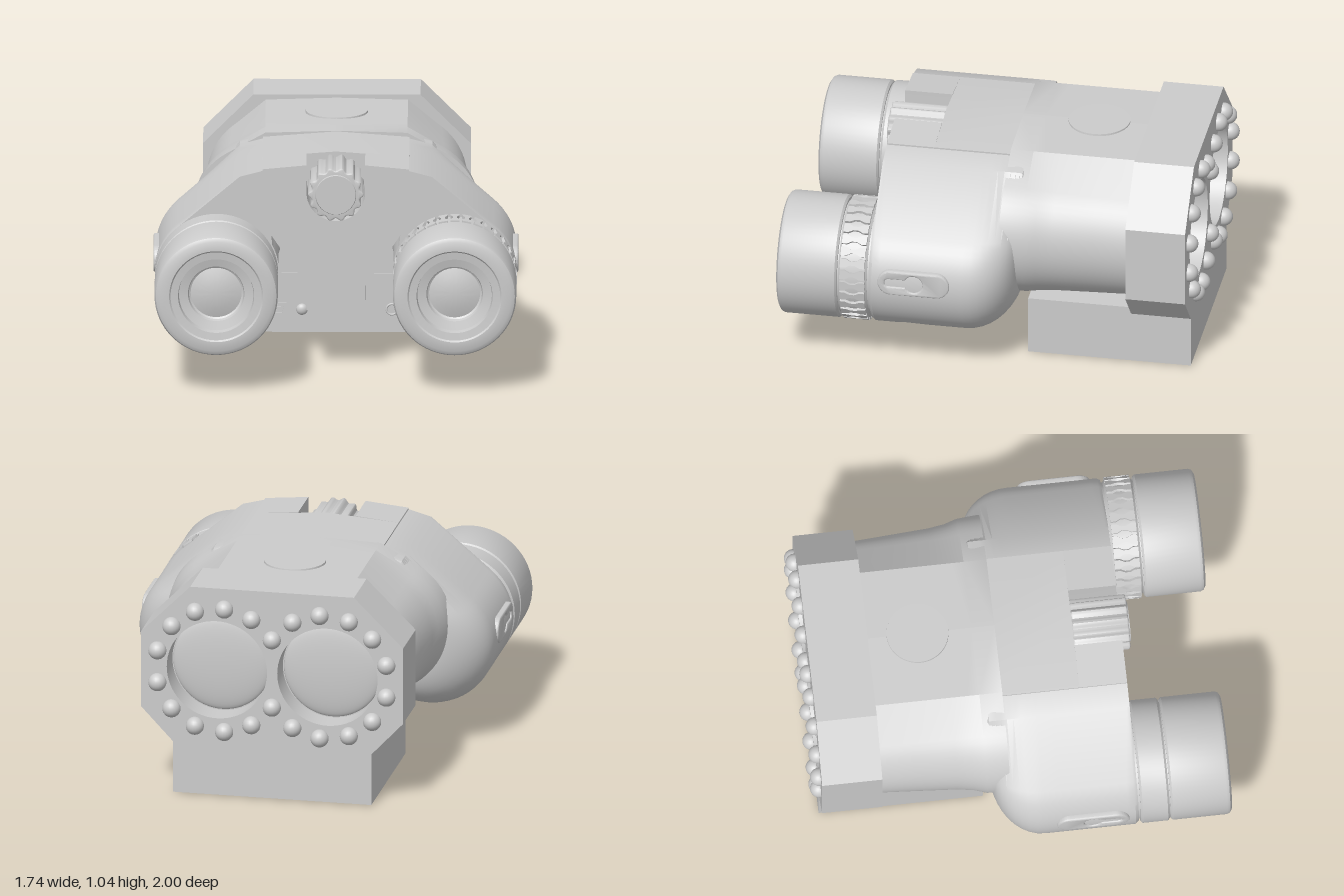
import * as THREE from 'three';
import { toCreasedNormals } from 'three/addons/utils/BufferGeometryUtils.js';

const grey = new THREE.MeshStandardMaterial({ color: 0xcccccc });
const V = (x, y) => new THREE.Vector2(x, y);

function add(parent, name, geometry, x = 0, y = 0, z = 0) {
  const mesh = new THREE.Mesh(geometry, grey);
  mesh.name = name;
  mesh.position.set(x, y, z);
  parent.add(mesh);
  return mesh;
}

// Turned part whose axis runs along z; profile points are (radius, z)
const turned = (pts, segs = 64) =>
  toCreasedNormals(new THREE.LatheGeometry(pts.map(p => V(...p)), segs).rotateX(Math.PI / 2), 0.6);

const extrude = (shape, depth, bevel = 0) => toCreasedNormals(new THREE.ExtrudeGeometry(shape, {
  depth, curveSegments: 32, bevelEnabled: bevel > 0, bevelSize: bevel, bevelOffset: -bevel,
  bevelThickness: bevel, bevelSegments: 3 }), 0.6);

const circlePath = (x, y, r) => new THREE.Path().absarc(x, y, r, 0, Math.PI * 2, true);

// Section: straight upper corners, then a tangent line onto a tube arc
function section(top, cx, cy, r, endAngle, floor = -1) {
  const [px, py] = top[top.length - 1];
  const a0 = Math.atan2(py - cy, px - cx) - Math.acos(r / Math.hypot(px - cx, py - cy));
  const pts = top.map(p => V(...p));
  for (let i = 0; i <= 40; i++) {
    const a = a0 + (endAngle - a0) * i / 40;
    pts.push(V(cx + r * Math.cos(a), Math.max(floor, cy + r * Math.sin(a))));
  }
  return pts.reverse();
}

// Skin over sections [{ z, pts }] ordered by rising z, closed at both ends
function loft(stations) {
  const pos = [], n = stations[0].pts.length;
  const tri = (...v) => v.forEach(p => pos.push(p.x, p.y, p.z));
  const rings = stations.map(s => s.pts.map(p => new THREE.Vector3(p.x, p.y, s.z)));
  for (let k = 0; k + 1 < rings.length; k++) {
    for (let i = 0; i < n; i++) {
      const j = (i + 1) % n, A = rings[k], B = rings[k + 1];
      tri(A[i], A[j], B[j]);
      tri(A[i], B[j], B[i]);
    }
  }
  const first = rings[0], last = rings[rings.length - 1];
  for (const [a, b, c] of THREE.ShapeUtils.triangulateShape(stations[0].pts, [])) tri(first[a], first[c], first[b]);
  for (const [a, b, c] of THREE.ShapeUtils.triangulateShape(stations[stations.length - 1].pts, [])) tri(last[a], last[b], last[c]);
  const g = new THREE.BufferGeometry();
  g.setAttribute('position', new THREE.Float32BufferAttribute(pos, 3));
  return toCreasedNormals(g, 0.5);
}

// Rear barrel, flaring toward the front housing
function barrelGeometry() {
  return loft([[-0.7, 0.295], [-0.5, 0.308], [-0.3, 0.322], [-0.22, 0.335], [-0.16, 0.355], [-0.05, 0.365]].map(([z, cx]) => ({
    z, pts: section([[0, 0.6], [0, 1.025], [0.34, 1.015]], cx, 0.63, 0.325, -Math.PI * 0.95) })));
}

// Front housing: rounded rear shoulder and a finger dip underneath
function housingGeometry() {
  const make = (z, s, floor) => {
    const drop = 0.05 * Math.max(0, (s - 0.6) / 0.4) ** 2;
    return { z, pts: section([[0.34, 0.99 - drop], [0.46, 0.958 - drop]],
      0.57 - 0.17 * s, 0.485 + 0.12 * s, 0.295 - 0.1 * s, -Math.PI * 1.15, floor) };
  };
  const out = [];
  for (let i = 10; i >= 0; i--) {
    const a = i / 10 * Math.PI / 2;
    out.push(make(0.1 - 0.24 * Math.sin(a), 1 - Math.cos(a)));
  }
  for (const [z, f] of [[0.18, 0.19], [0.23, 0.21], [0.28, 0.232], [0.39, 0.235], [0.44, 0.215], [0.5, 0.195]]) out.push(make(z, 0, f));
  out.push(make(0.535, 0), make(0.55, 0.04));
  return loft(out);
}

// Central bridge plate, optionally with the notch for the focus wheel
function bridgeShape(notch) {
  const s = new THREE.Shape();
  s.moveTo(-0.14, 0.3);
  s.lineTo(0.14, 0.3);
  s.lineTo(0.14, 0.42);
  s.lineTo(0.35, 0.73);
  s.lineTo(0.35, 0.995);
  if (notch) {
    s.lineTo(0.14, 1.015);
    s.lineTo(0.14, 0.88);
    s.absarc(0, 0.88, 0.14, 0, -Math.PI, true);
    s.lineTo(-0.14, 1.015);
  } else s.lineTo(0, 1.022);
  s.lineTo(-0.35, 0.995);
  s.lineTo(-0.35, 0.73);
  s.lineTo(-0.14, 0.42);
  return s;
}

// Side pad with keyhole slot, facing +x
function sidePadGeometry() {
  const s = new THREE.Shape();
  s.absarc(0.11, 0, 0.064, -Math.PI / 2, Math.PI / 2, false);
  s.absarc(-0.11, 0, 0.064, Math.PI / 2, Math.PI * 1.5, false);
  const key = new THREE.Path();
  key.absarc(0, 0, 0.044, Math.PI * 0.85, -Math.PI * 0.85, true);
  key.absarc(-0.12, 0, 0.02, -Math.PI / 2, -Math.PI * 1.5, true);
  s.holes.push(key);
  return extrude(s, 0.035, 0.008).rotateY(Math.PI / 2);
}

// Everything that exists on both sides
function buildSide(knurled) {
  const side = new THREE.Group();
  add(side, 'rearBarrel', barrelGeometry());
  add(side, 'frontHousing', housingGeometry());
  add(side, 'sidePad', sidePadGeometry(), 0.829, 0.525, 0.33);
  add(side, 'eyepieceNeck', new THREE.CylinderGeometry(0.272, 0.272, 0.24, 64).rotateX(Math.PI / 2), 0.57, 0.485, 0.6);
  add(side, 'eyepiece', turned([[0, 0.705], [0.285, 0.705], [0.295, 0.715], [0.295, 0.975], [0.288, 0.99], [0.27, 1],
    [0.225, 1], [0.218, 0.992], [0.182, 0.988], [0.178, 0.955], [0.135, 0.945], [0.13, 0.925], [0.122, 0.92],
    [0.08, 0.932], [0.04, 0.938], [0, 0.94]]), 0.57, 0.485, 0);
  const r = knurled ? 0.283 : 0.295;
  add(side, 'focusRing', turned([[0.26, 0.56], [r - 0.01, 0.56], [r, 0.57], [r, 0.69], [r - 0.01, 0.7], [0.26, 0.7]]), 0.57, 0.485, 0);
  if (knurled) {
    // Waisted grip ribs around the ring
    const rib = new THREE.Shape([V(-0.022, -0.06), V(0.022, -0.06), V(0.022, -0.035), V(0.01, -0.012), V(0.01, 0.012),
      V(0.022, 0.035), V(0.022, 0.06), V(-0.022, 0.06), V(-0.022, 0.035), V(-0.01, 0.012), V(-0.01, -0.012), V(-0.022, -0.035)]);
    const g = extrude(rib, 0.02).rotateX(Math.PI / 2).translate(0, 0.296, 0.63);
    for (let i = 0; i < 32; i++) add(side, 'gripRib', g, 0.57, 0.485, 0).rotation.z = i / 32 * Math.PI * 2;
  }
  // Objective lens
  add(side, 'objectiveLens', new THREE.SphereGeometry(0.24, 48, 24).scale(1, 1, 0.15), 0.27, 0.63, -0.82);
  // Lamp domes round the objective
  for (const deg of [15, 42, 68, 95, 121]) for (const s of [1, -1]) {
    const a = s * deg * Math.PI / 180;
    add(side, 'lamp', new THREE.SphereGeometry(0.044, 20, 14), 0.26 + 0.31 * Math.cos(a), 0.63 + 0.31 * Math.sin(a), -0.956);
  }
  return side;
}

export function createModel() {
  const model = new THREE.Group();
  model.name = 'binoculars';

  const left = buildSide(true);
  left.name = 'leftSide';
  const right = buildSide(false);
  right.name = 'rightSide';
  right.scale.x = -1;
  model.add(left, right);

  // Bridge and focus wheel
  add(model, 'bridgeRear', extrude(bridgeShape(false), 0.46), 0, 0, -0.14);
  add(model, 'bridgeFront', extrude(bridgeShape(true), 0.23), 0, 0, 0.32);
  const wheel = new THREE.Shape();
  for (let i = 0; i < 112; i++) {
    const a = i / 112 * Math.PI * 2, r = 0.125 + 0.008 * Math.cos(14 * a);
    wheel[i ? 'lineTo' : 'moveTo'](r * Math.cos(a), r * Math.sin(a));
  }
  add(model, 'focusWheel', extrude(wheel, 0.255, 0.008), 0, 0.88, 0.328);
  add(model, 'focusWheelCap', new THREE.CylinderGeometry(0.095, 0.1, 0.01, 48).rotateX(Math.PI / 2), 0, 0.88, 0.592);
  add(model, 'topDisc', new THREE.CylinderGeometry(0.148, 0.152, 0.03, 64), 0, 1.015, -0.42);

  // Octagonal lamp head with two objective openings
  const corners = [[0.48, 0.25], [0.64, 0.42], [0.64, 0.8], [0.4, 1.04]];
  const outline = corners.concat(corners.map(([x, y]) => [-x, y]).reverse()).map(p => V(...p));
  const face = new THREE.Shape(outline);
  for (const s of [1, -1]) face.holes.push(circlePath(s * 0.27, 0.63, 0.245));
  add(model, 'lampHeadFace', extrude(face, 0.13), 0, 0, -0.95);
  add(model, 'lampHead', extrude(new THREE.Shape(outline), 0.16), 0, 0, -0.82);
  for (const dy of [0.17, -0.17]) add(model, 'lamp', new THREE.SphereGeometry(0.044, 20, 14), 0, 0.63 + dy, -0.956);

  // Battery base with its mount, sockets and screws
  add(model, 'base', new THREE.BoxGeometry(0.97, 0.29, 0.79), 0, 0.145, -0.555);
  add(model, 'baseMount', new THREE.BoxGeometry(0.64, 0.08, 0.5), 0, 0.315, -0.42);
  const port = new THREE.Shape([V(-0.045, -0.03), V(0.045, -0.03), V(0.06, 0), V(0.06, 0.03), V(-0.06, 0.03), V(-0.06, 0)]);
  port.holes.push(new THREE.Path([V(-0.04, -0.02), V(-0.05, 0.02), V(0.05, 0.02), V(0.04, -0.02)]));
  add(model, 'port', extrude(port, 0.008), -0.3, 0.115, -0.16);
  add(model, 'portTongue', new THREE.BoxGeometry(0.07, 0.014, 0.006), -0.3, 0.12, -0.158);
  add(model, 'button', new THREE.SphereGeometry(0.028, 24, 16).scale(1, 1, 0.7), -0.165, 0.112, -0.16);
  add(model, 'socket', new THREE.TorusGeometry(0.026, 0.005, 10, 32), 0.265, 0.112, -0.16);
  for (const x of [0.42, -0.42]) for (const z of [-0.22, -0.89]) {
    add(model, 'screw', new THREE.CylinderGeometry(0.022, 0.022, 0.006, 20), x, 0.003 - 0.0035, z);
  }
  return model;
}
